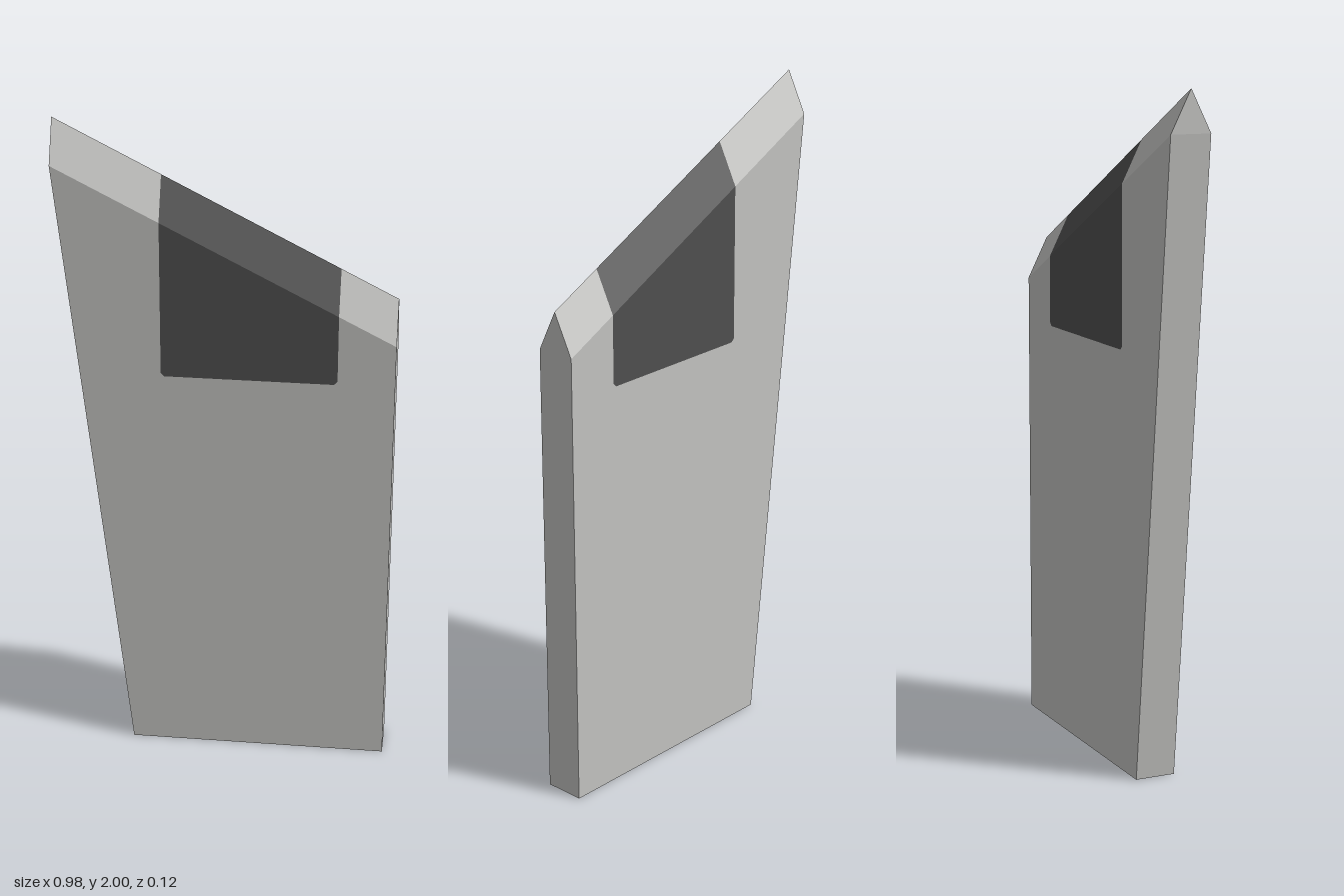
import * as THREE from 'three';

const HALF = 0.061;   // half thickness
const RISE = 0.122;   // height of the ridge above the shoulders
const X0 = -0.49, X1 = 0.49, P0 = -0.185, P1 = 0.325, PANEL_BOTTOM = 1.25;

// Height of the sloping shoulder line
const shoulder = (x) => 1.878 + (x - X0) * (-0.5 / (X1 - X0));

// Upright slab cut from an outline
function slab(points) {
  const shape = new THREE.Shape(points.map(([x, y]) => new THREE.Vector2(x, y)));
  const g = new THREE.ExtrudeGeometry(shape, { depth: HALF * 2, bevelEnabled: false });
  return g.translate(0, 0, -HALF);
}

// Triangular ridge from x = a to x = b, sheared to follow the slope
function ridge(a, b) {
  const shape = new THREE.Shape([
    new THREE.Vector2(-HALF, 0), new THREE.Vector2(HALF, 0), new THREE.Vector2(0, RISE),
  ]);
  const g = new THREE.ExtrudeGeometry(shape, { depth: b - a, bevelEnabled: false });
  g.rotateY(Math.PI / 2).translate(a, 0, 0);
  const p = g.attributes.position;
  for (let i = 0; i < p.count; i++) p.setY(i, p.getY(i) + shoulder(p.getX(i)));
  g.computeVertexNormals();
  return g;
}

export function createModel() {
  const model = new THREE.Group();
  const stone = new THREE.MeshStandardMaterial({ color: 0xc3c3c1 });
  stone.name = 'light grey';
  const dark = new THREE.MeshStandardMaterial({ color: 0x4f4f4f });
  dark.name = 'dark grey';

  const add = (name, geometry, material) => {
    const mesh = new THREE.Mesh(geometry, material);
    mesh.name = name;
    model.add(mesh);
  };

  // Dark panel outline, with clipped lower corners
  const c = 0.01;
  const notch = [
    [P0, shoulder(P0)], [P0, PANEL_BOTTOM + c], [P0 + c, PANEL_BOTTOM],
    [P1 - c, PANEL_BOTTOM], [P1, PANEL_BOTTOM + c], [P1, shoulder(P1)],
  ];

  // Tapered body with a notch, and the panel block filling it flush
  add('body', slab([
    [-0.285, 0], [X1, 0], [X1, shoulder(X1)],
    ...[...notch].reverse(), [X0, shoulder(X0)],
  ]), stone);
  add('panel', slab(notch), dark);

  // Ridge along the top, in three coloured lengths
  add('ridgeHigh', ridge(X0, P0), stone);
  add('ridgePanel', ridge(P0, P1), dark);
  add('ridgeLow', ridge(P1, X1), stone);
  return model;
}
